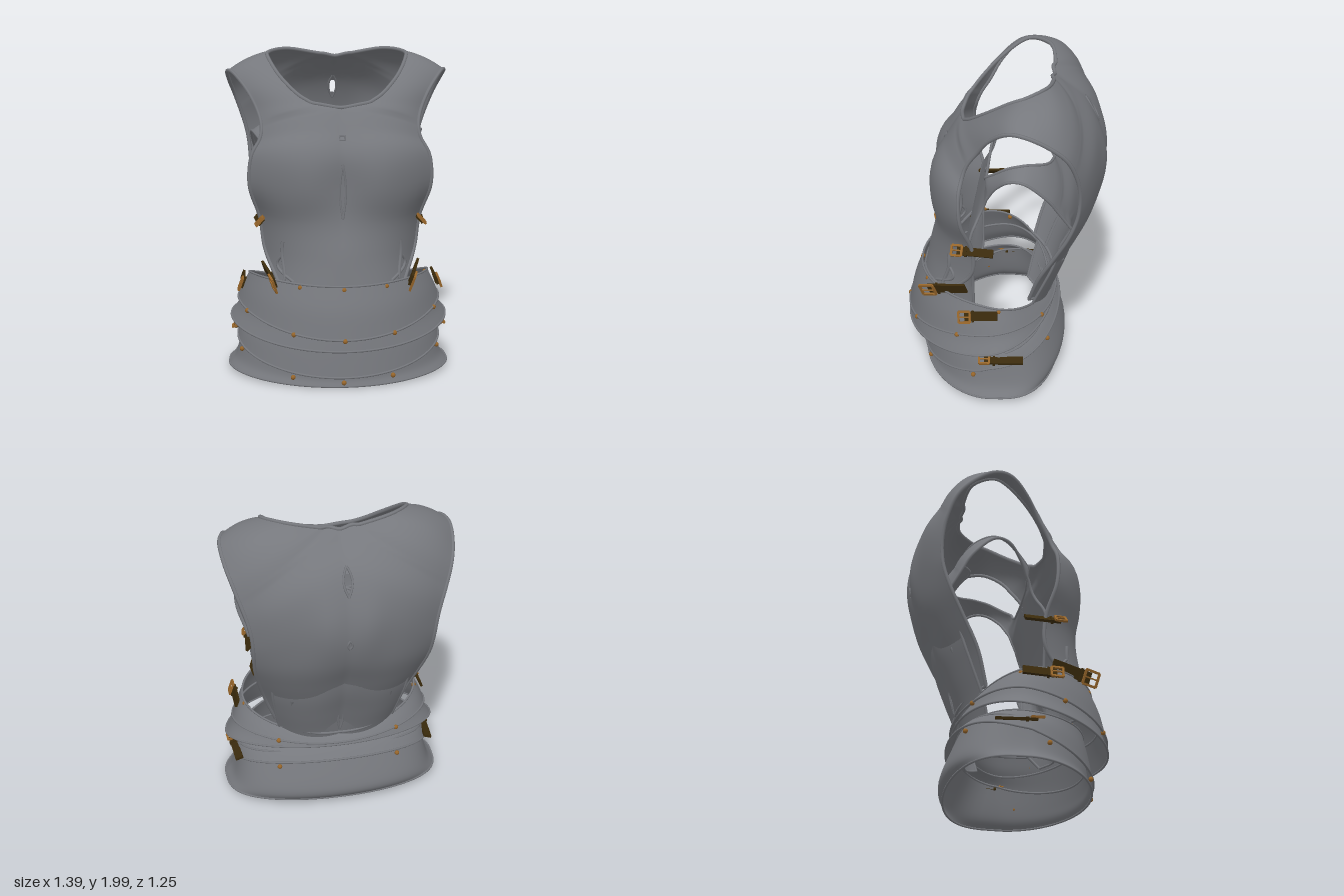
import * as THREE from 'three';
import { mergeGeometries, mergeVertices } from 'three/addons/utils/BufferGeometryUtils.js';

const V = (x, y, z) => new THREE.Vector3(x, y, z);
const mat = (name, color) => {
  const m = new THREE.MeshStandardMaterial({ color, side: THREE.DoubleSide });
  m.name = name;
  return m;
};
const spline = (pts) => new THREE.CatmullRomCurve3(pts.map((p) => V(...p)), false, 'catmullrom');

// Rails run from the front hem, over the shoulder, to the back hem.
const ROWS = 20, NECK_FRONT = 6, NECK_BACK = 13;
const innerRail = spline([
  [0, 0.6, 0.5], [0, 0.8, 0.46], [0, 1, 0.41], [0, 1.2, 0.4], [0, 1.4, 0.4], [0, 1.55, 0.33], [0, 1.68, 0.25],
  [0.2, 1.72, 0.21], [0.34, 1.83, 0.09], [0.42, 1.94, -0.06], [0.42, 1.98, -0.16], [0.3, 1.99, -0.27], [0.12, 1.96, -0.3],
  [0, 1.94, -0.3], [0, 1.8, -0.48], [0, 1.6, -0.58], [0, 1.4, -0.61], [0, 1.2, -0.57], [0, 1, -0.47], [0, 0.8, -0.38], [0, 0.52, -0.31],
]);
const outerRail = spline([
  [0.38, 0.62, 0.33], [0.46, 0.8, 0.17], [0.49, 1, 0.16], [0.55, 1.2, 0.22], [0.54, 1.38, 0.23], [0.485, 1.49, 0.21], [0.475, 1.57, 0.18],
  [0.5, 1.66, 0.12], [0.56, 1.77, 0.05], [0.64, 1.86, -0.06], [0.68, 1.86, -0.18], [0.67, 1.79, -0.31], [0.64, 1.7, -0.4],
  [0.6, 1.58, -0.45], [0.57, 1.48, -0.47], [0.55, 1.38, -0.475], [0.54, 1.26, -0.46], [0.53, 1.12, -0.41], [0.5, 0.97, -0.335], [0.45, 0.78, -0.24], [0.38, 0.58, -0.18],
]);
const bulgeRail = spline([
  0.05, 0.08, 0.09, 0.09, 0.09, 0.06, 0.05, 0.03, 0.02, 0.02, 0.02,
  0.05, 0.08, 0.1, 0.08, 0.055, 0.04, 0.05, 0.06, 0.06, 0.05,
].map((b) => [b, 0, 0]));

// Point on the +x half of the torso shell: row along the rails, u from neck or centre to armhole.
function shellPoint(row, u) {
  const t = row / ROWS;
  const a = innerRail.getPoint(t), b = outerRail.getPoint(t);
  // straight centre line, with the neck opening rounded where it leaves it
  if (row <= NECK_FRONT || row >= NECK_BACK) a.x = 0;
  else if (row < NECK_FRONT + 1) a.x = 0.2 * Math.sqrt(row - NECK_FRONT);
  else if (row > NECK_BACK - 1) a.x = 0.12 * Math.sqrt(NECK_BACK - row);
  const along = innerRail.getTangent(t).add(outerRail.getTangent(t));
  const normal = b.clone().sub(a).cross(along).normalize();
  const p = a.lerp(b, u).addScaledVector(normal, bulgeRail.getPoint(t).x * 4 * u * (1 - u));
  // chest and shoulder blade relief
  if (p.z > 0) p.z += 0.025 * Math.exp(-((p.x - 0.23) ** 2) / 0.02 - ((p.y - 1.22) ** 2) / 0.025) * (1 - u);
  else p.z -= 0.02 * Math.exp(-((p.x - 0.12) ** 2) / 0.008 - ((p.y - 1.45) ** 2) / 0.05);
  return p;
}

// Smaller vest inside the shell: wide neck, flat chest, sides tucked behind the outer armholes.
function vestPoint(row, u) {
  const open = row > NECK_FRONT && row < NECK_BACK;
  const strap = open ? Math.sqrt(Math.sin((Math.PI * (row - NECK_FRONT)) / (NECK_BACK - NECK_FRONT))) : 0;
  const u0 = 0.5 * strap;
  const p = shellPoint(row, u0 + (1 - u0) * u).multiplyScalar(0.785);
  if (row < 9) {
    p.z = Math.min(p.z, 0.09 + Math.max(0, 1.34 - p.y) * 0.28);
    if (row < 4) p.z = Math.max(p.z, 0.165);
    else p.z -= 0.025 * u * u * Math.sin((Math.PI * (row - 4)) / 5);
  } else if (row > 12) {
    p.z = Math.min(p.z, -0.43 + (p.y > 1.14 ? (p.y - 1.14) * 0.6 : (1.14 - p.y) * 0.5));
  }
  p.y += 0.03 * Math.exp(-((p.z + 0.15) ** 2) / 0.012) * strap;
  if (p.y < 1) p.y = 1 - (1 - p.y) * 1.3;
  return p;
}

// Grid surface from fn(i, j); flip reverses the winding, skip(i, j) leaves a hole.
function grid(rows, cols, fn, flip = false, skip = () => false) {
  const pos = [], idx = [];
  for (let i = 0; i <= rows; i++) for (let j = 0; j <= cols; j++) pos.push(...fn(i, j).toArray());
  for (let i = 0; i < rows; i++) for (let j = 0; j < cols; j++) {
    if (skip(i, j)) continue;
    const a = i * (cols + 1) + j, b = a + 1, c = a + cols + 1, d = c + 1;
    if (flip) idx.push(a, c, b, b, c, d);
    else idx.push(a, b, c, b, d, c);
  }
  const g = new THREE.BufferGeometry();
  g.setAttribute('position', new THREE.Float32BufferAttribute(pos, 3));
  g.setIndex(idx);
  return g;
}
function smooth(parts) {
  const g = mergeVertices(mergeGeometries(parts), 1e-4);
  g.computeVertexNormals();
  return g;
}
const tube = (pts, r, closed = false) =>
  new THREE.TubeGeometry(new THREE.CatmullRomCurve3(pts, closed), pts.length * 2, r, 6, closed);
const flipX = (p, s) => V(p.x * s, p.y, p.z);
const sample = (n, fn) => Array.from({ length: n + 1 }, (_, i) => fn(i / n));

// Ring spec: half width, front z, back z, heights at front, side and back, and how square the back is.
function ringPoint([rx, zf, zb, yf, ys, yb, back = 1], a) {
  const c = Math.cos(a), mid = 0.045;
  const y = ys + ((yf - yb) / 2) * c + ((yf + yb) / 2 - ys) * c * c;
  return V(rx * Math.sin(a), y, mid + (c > 0 ? (zf - mid) * c ** 1.13 : (zb - mid) * (-c) ** back));
}

export function createModel() {
  const steel = mat('steel', 0x76787d);
  const leather = mat('dark leather', 0x3a2a0c);
  const brass = mat('brass', 0x96652a);
  const model = new THREE.Group();
  model.name = 'cuirass';
  const add = (name, geo, material = steel, parent = model) => {
    const m = new THREE.Mesh(geo, material);
    m.name = name;
    parent.add(m);
    return m;
  };

  // Outer shell and inner vest, each with a keyhole between the shoulder blades and rolled rims
  const SUB = 5, COLS = 12;
  for (const [name, point, r] of [['torsoShell', shellPoint, 0.012], ['innerVest', vestPoint, 0.009]]) {
    const half = (s) => grid(ROWS * SUB, COLS,
      (i, j) => flipX(point(i / SUB, (j / COLS) ** 1.3), s), s < 0,
      (i, j) => j === 0 && i >= 71 && i < 73);
    add(name, smooth([half(1), half(-1)]));
    const neck = sample(35, (t) => point(NECK_FRONT + t * (NECK_BACK - NECK_FRONT), 0));
    add(name + 'NeckRim', tube([...neck, ...neck.slice(1, -1).reverse().map((p) => flipX(p, -1))], r, true));
    for (const row of [0, ROWS]) {
      const hem = sample(8, (t) => point(row, t));
      add(name + 'Hem', tube([...hem.slice(1).reverse().map((p) => flipX(p, -1)), ...hem], r * 0.85));
    }
    for (const s of [1, -1]) add(name + 'ArmholeRim', tube(sample(70, (t) => flipX(point(t * ROWS, 1), s)), r));
  }

  // Raised slits down the centre: start row, end row, half width
  for (const [r0, r1, w] of [[2.15, 3.8, 0.018], [14, 14.8, 0.026], [16.1, 16.4, 0.014], [19.2, 19.9, 0.015]]) {
    const edge = (s) => (t) => shellPoint(r0 + (r1 - r0) * t, 0).add(V(s * w * Math.sin(Math.PI * t), 0, r0 < 6 ? 0.004 : -0.004));
    for (const s of [1, -1]) add('slitRim', tube(sample(10, edge(s)), 0.007));
  }
  // Small square studs on the chest of the shell and of the vest
  for (const p of [shellPoint(4.73, 0), vestPoint(5.6, 0)]) {
    const stud = add('chestStud', new THREE.TorusGeometry(0.02, 0.006, 5, 4));
    stud.position.copy(p).add(V(0, 0, 0.004));
    stud.rotation.set(-0.4, 0, Math.PI / 4);
  }

  // Creases at the waist, front and back
  for (const s of [1, -1]) {
    add('frontCrease', tube(sample(8, (t) => flipX(shellPoint(1.35 * t, 0.95 - 0.28 * Math.sqrt(t)), s)), 0.013));
    add('frontCrease', tube(sample(8, (t) => flipX(shellPoint(0.1 + 0.75 * t, 0.72 + 0.16 * Math.sin(t * 3)), s)), 0.01));
    add('backCrease', tube(sample(8, (t) => flipX(shellPoint(18.6 + 1.4 * t, 0.62 + 0.08 * t), s)), 0.012));
  }

  // Overlapping waist plates, each lofted through rings from top to bottom
  const plates = {
    upperWaistPlate: [[0.56, 0.52, -0.28, 0.645, 0.63, 0.5], [0.6, 0.575, -0.31, 0.5, 0.55, 0.48], [0.63, 0.61, -0.335, 0.34, 0.475, 0.455]],
    upperWaistFlange: [[0.6, 0.56, -0.29, 0.45, 0.51, 0.49], [0.63, 0.59, -0.31, 0.35, 0.43, 0.46], [0.675, 0.61, -0.325, 0.27, 0.36, 0.43]],
    lowerWaistPlate: [[0.57, 0.46, -0.25, 0.37, 0.36, 0.42], [0.61, 0.49, -0.31, 0.22, 0.3, 0.39, 0.85], [0.635, 0.515, -0.36, 0.075, 0.225, 0.34, 0.75]],
    hipPlate: [[0.6, 0.47, -0.3, 0.18, 0.3, 0.38, 0.75], [0.625, 0.48, -0.385, 0.1, 0.17, 0.18, 0.65], [0.65, 0.485, -0.4, 0.05, 0.09, 0.1, 0.6], [0.69, 0.5, -0.37, 0.015, 0.04, 0.05, 0.6]],
  };
  const SEG = 64;
  for (const [name, rings] of Object.entries(plates)) {
    const n = (rings.length - 1) * 4;
    const profile = sample(SEG, (t) => spline(rings.map((r) => ringPoint(r, t * Math.PI * 2).toArray())));
    add(name, smooth([grid(n, SEG, (i, j) => profile[j].getPoint(i / n), true)]));
    for (const r of [rings[0], rings[rings.length - 1]])
      add(name + 'Rim', tube(sample(SEG - 1, (t) => ringPoint(r, t * Math.PI * 2 * (SEG - 1) / SEG)), 0.007, true));
  }

  // Brass rivets: plate ring, height above it, angles from the front
  const rivets = [
    [plates.upperWaistPlate[0], -0.02, [0, 0.48, 1.72]],
    [plates.upperWaistPlate[2], -0.005, [0, 0.5, 1.15, 2.5]],
    [plates.lowerWaistPlate[2], -0.03, [0, 0.5, 1.3, 2.5]],
  ];
  const rivetGeo = new THREE.SphereGeometry(0.015, 10, 8);
  for (const [ring, lift, angles] of rivets) for (const a of angles) for (const s of a ? [1, -1] : [1]) {
    add('rivet', rivetGeo, brass).position.copy(ringPoint(ring, a * s)).add(V(0, lift, 0));
  }

  // Leather straps with square brass buckles
  const straps = [
    { at: [0.495, 0.985, 0.14], len: 0.22, h: 0.05, turn: [0, -0.1, 0.75] },
    { at: [0.44, 0.68, 0.32], len: 0.25, h: 0.07, turn: [0.2, -0.25, -0.3] },
    { at: [0.6, 0.595, 0.1], len: 0.2, h: 0.055, turn: [0.06, 0, 0.35] },
    { at: [0.625, 0.285, -0.04], len: 0.24, h: 0.05, turn: [0, 0.05, 1.25] },
  ];
  for (const s of [1, -1]) for (const { at, len, h, turn } of straps) {
    const g = new THREE.Group();
    g.name = 'strap';
    g.position.set(at[0] * s, at[1], at[2]);
    g.rotation.set(turn[0], turn[1] * s, turn[2] * s);
    add('strapLeather', new THREE.BoxGeometry(0.016, h, len), leather, g);
    add('strapLoop', new THREE.BoxGeometry(0.026, h + 0.012, 0.014), leather, g).position.z = len * 0.25;
    const frame = h * 0.62;
    for (const k of [1, -1]) {
      add('buckleBar', new THREE.BoxGeometry(0.013, 0.013, frame * 2), brass, g).position.set(0.014 * s, k * frame, len / 2);
      add('buckleEnd', new THREE.BoxGeometry(0.013, frame * 2, 0.013), brass, g).position.set(0.014 * s, 0, len / 2 + k * frame);
    }
    add('bucklePin', new THREE.BoxGeometry(0.008, 0.008, frame * 2), brass, g).position.set(0.018 * s, 0, len / 2);
    model.add(g);
  }
  return model;
}
